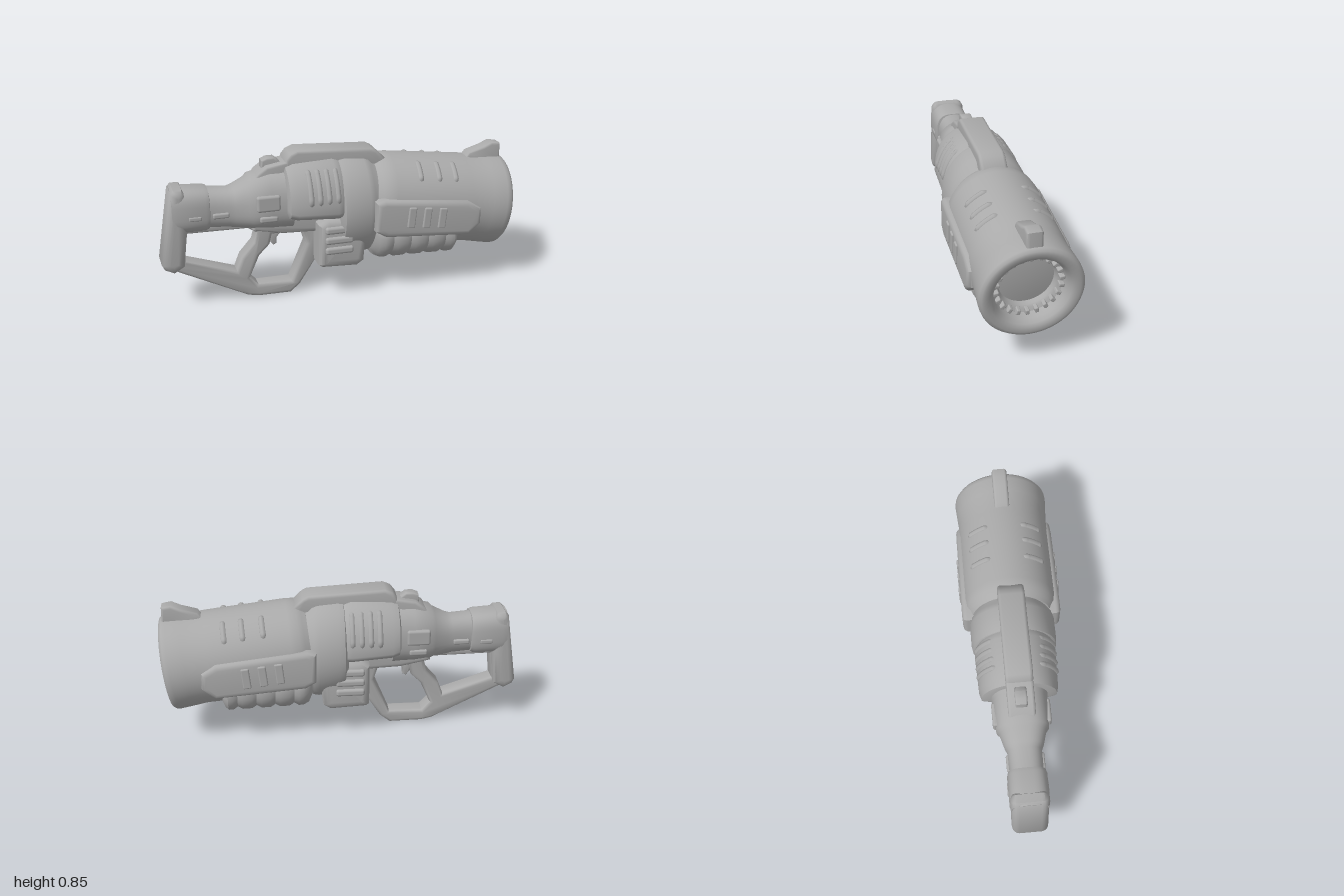
import * as THREE from 'three';
import { toCreasedNormals } from 'three/addons/utils/BufferGeometryUtils.js';
import { RoundedBoxGeometry } from 'three/addons/geometries/RoundedBoxGeometry.js';

const grey = new THREE.MeshStandardMaterial({ color: 0xaaaaaa });
grey.name = 'grey';

function part(parent, name, geometry) {
  const mesh = new THREE.Mesh(geometry, grey);
  mesh.name = name;
  parent.add(mesh);
  return mesh;
}

// Rounded slab: side outline in x/y, extruded evenly to both sides of z = 0
function slab(points, half, bevel, holes = []) {
  const toVec = (list) => list.map(([x, y]) => new THREE.Vector2(x, y));
  const shape = new THREE.Shape(toVec(points));
  holes.forEach((h) => shape.holes.push(new THREE.Path(toVec(h))));
  const geo = new THREE.ExtrudeGeometry(shape, {
    depth: 2 * (half - bevel), bevelThickness: bevel, bevelSize: bevel,
    bevelOffset: -bevel, bevelSegments: 4,
  });
  geo.translate(0, 0, bevel - half);
  return toCreasedNormals(geo, 0.75);
}

// Body along x from egg-shaped sections: [x, bottom, widest height, top, half width]
function loft(sections, power = 2, n = 40) {
  const pos = [], index = [];
  const bend = (v) => Math.sign(v) * Math.abs(v) ** (2 / power);
  for (const [x, bottom, mid, top, w] of sections) {
    for (let j = 0; j < n; j++) {
      const a = (j / n) * Math.PI * 2, s = bend(Math.sin(a));
      pos.push(x, mid + s * (s > 0 ? top - mid : mid - bottom), w * bend(Math.cos(a)));
    }
  }
  const last = sections.length - 1, c0 = pos.length / 3;
  pos.push(sections[0][0], sections[0][2], 0, sections[last][0], sections[last][2], 0);
  for (let j = 0; j < n; j++) {
    const k = (j + 1) % n;
    for (let i = 0; i < last; i++) {
      const a = i * n + j, b = a + n, c = (i + 1) * n + k, d = i * n + k;
      index.push(a, b, c, a, c, d);
    }
    index.push(c0, j, k, c0 + 1, last * n + k, last * n + j);
  }
  const geo = new THREE.BufferGeometry();
  geo.setAttribute('position', new THREE.Float32BufferAttribute(pos, 3));
  geo.setIndex(index);
  return toCreasedNormals(geo, 0.7);
}

// Matching ridges on both sides, following an elliptical body, ends sunk into it
function ribs(parent, name, xs, mid, w, h, a0, a1, r) {
  for (const x of xs) for (const side of [1, -1]) {
    const path = [];
    for (let i = 0; i <= 8; i++) {
      const a = a0 + ((a1 - a0) * i) / 8, k = i % 8 ? 1 : 0.91;
      path.push(new THREE.Vector3(x, mid + h * k * Math.sin(a), side * w * k * Math.cos(a)));
    }
    part(parent, name, new THREE.TubeGeometry(new THREE.CatmullRomCurve3(path), 20, r, 8));
  }
}

function box(parent, name, w, h, d, x, y, z, r = 0.01) {
  const mesh = part(parent, name, new RoundedBoxGeometry(w, h, d, 3, r));
  mesh.position.set(x, y, z);
  return mesh;
}

export function createModel() {
  const model = new THREE.Group();
  model.name = 'launcher';

  // Barrel, pitched slightly down; its origin is the centre of the muzzle
  const barrel = new THREE.Group();
  barrel.name = 'barrel';
  barrel.position.set(0.965, 0.43, 0);
  barrel.rotation.z = -0.122;
  model.add(barrel);
  const profile = [
    [0, -0.8], [0.22, -0.8], [0.235, -0.775], [0.25, -0.75], [0.256, -0.7], [0.258, -0.25],
    [0.256, -0.19], [0.262, -0.12], [0.268, -0.04], [0.266, -0.018], [0.255, -0.003], [0.24, 0],
    [0.215, -0.004], [0.2, -0.015], [0.187, -0.04], [0.178, -0.08], [0.16, -0.09],
    [0.148, -0.1], [0.143, -0.125], [0.1, -0.12], [0, -0.115],
  ].map(([r, s]) => new THREE.Vector2(r, s));
  const tube = new THREE.LatheGeometry(profile, 56);
  tube.rotateZ(-Math.PI / 2);
  part(barrel, 'barrelTube', toCreasedNormals(tube, 0.8));
  for (let i = 0; i < 22; i++) {
    const a = (i / 22) * Math.PI * 2;
    const tooth = box(barrel, 'boreTooth', 0.05, 0.03, 0.022,
      -0.085, Math.cos(a) * 0.168, Math.sin(a) * 0.168, 0.006);
    tooth.rotation.x = a;
  }
  ribs(barrel, 'barrelVent', [-0.56, -0.45, -0.35], 0, 0.25, 0.25, 0.65, 1.2, 0.018);

  // Front sight
  part(model, 'frontSight', slab([[0.74, 0.68], [0.78, 0.735], [0.87, 0.762], [0.92, 0.785],
    [0.972, 0.775], [0.975, 0.66]], 0.042, 0.015));

  // Side panels of the barrel with raised slats
  part(model, 'sidePanels', slab([[0.15, 0.57], [0.2, 0.585], [0.69, 0.53], [0.77, 0.48], [0.77, 0.385],
    [0.7, 0.325], [0.21, 0.365], [0.15, 0.4]], 0.276, 0.03));
  for (const x of [0.35, 0.44, 0.53]) for (const z of [0.275, -0.275]) {
    const slat = box(model, 'panelSlat', 0.045, 0.12, 0.02, x, 0.515 - x * 0.12, z, 0.008);
    slat.rotation.z = -0.1;
  }

  // Ribbed rail under the barrel
  const rail = [[0.17, 0.23, 0.36, 0.45, 0.19], [0.19, 0.185, 0.345, 0.45, 0.215]];
  for (let i = 0; i <= 16; i++) {
    const dip = i % 4 === 2 ? 0.018 : 0;
    rail.push([0.22 + i * 0.026, 0.172 + dip - i * 0.0007, 0.335 - i * 0.001, 0.44, 0.228 - dip * 0.6]);
  }
  rail.push([0.655, 0.18, 0.32, 0.43, 0.21], [0.67, 0.22, 0.32, 0.42, 0.18]);
  part(model, 'underRail', loft(rail, 2.3));

  // Receiver: drum in front, vented housing behind
  part(model, 'receiverDrum', loft([
    [-0.03, 0.3, 0.5, 0.76, 0.2], [-0.01, 0.24, 0.5, 0.79, 0.232], [0.02, 0.22, 0.5, 0.795, 0.237],
    [0.13, 0.205, 0.5, 0.785, 0.237], [0.16, 0.21, 0.5, 0.775, 0.23], [0.18, 0.24, 0.5, 0.755, 0.215],
    [0.25, 0.26, 0.5, 0.73, 0.2],
  ]));
  part(model, 'receiverHousing', loft([
    [-0.32, 0.5, 0.55, 0.74, 0.175], [-0.31, 0.475, 0.54, 0.775, 0.205], [-0.27, 0.465, 0.53, 0.79, 0.216],
    [-0.05, 0.45, 0.52, 0.8, 0.224], [-0.02, 0.45, 0.52, 0.79, 0.215], [0, 0.46, 0.52, 0.78, 0.2],
  ], 2.1));
  ribs(model, 'housingVent', [-0.2, -0.15, -0.1, -0.05], 0.53, 0.215, 0.258, 0.15, 1.05, 0.017);

  // Top rail and rear sight
  part(model, 'topRail', slab([[-0.32, 0.7], [-0.305, 0.8], [-0.28, 0.83], [-0.24, 0.847], [0.18, 0.825],
    [0.21, 0.81], [0.26, 0.762], [0.27, 0.68]], 0.073, 0.018));
  part(model, 'rearSightBase', slab([[-0.5, 0.68], [-0.46, 0.735], [-0.41, 0.77], [-0.29, 0.79],
    [-0.28, 0.68]], 0.072, 0.015));
  part(model, 'rearSight', slab([[-0.435, 0.72], [-0.43, 0.795], [-0.4, 0.808], [-0.36, 0.808],
    [-0.33, 0.785], [-0.32, 0.72]], 0.032, 0.01));

  // Pod below the receiver with horizontal ridges
  part(model, 'lowerPod', slab([[-0.15, 0.2], [-0.13, 0.188], [0.07, 0.178], [0.11, 0.205], [0.13, 0.44],
    [0.07, 0.465], [-0.1, 0.475], [-0.15, 0.44]], 0.195, 0.045));
  for (const y of [0.295, 0.355, 0.415]) for (const z of [0.192, -0.192]) {
    box(model, 'podRidge', 0.16, 0.042, 0.035, -0.04, y, z, 0.015);
  }

  // Neck from the stock to the receiver
  part(model, 'neck', loft([
    [-0.76, 0.445, 0.56, 0.67, 0.09], [-0.62, 0.435, 0.55, 0.658, 0.092], [-0.59, 0.43, 0.55, 0.665, 0.105],
    [-0.52, 0.425, 0.55, 0.7, 0.125], [-0.5, 0.42, 0.55, 0.72, 0.142], [-0.4, 0.41, 0.55, 0.745, 0.15],
    [-0.34, 0.41, 0.55, 0.745, 0.15], [-0.28, 0.41, 0.55, 0.75, 0.16],
  ], 2.5));
  part(model, 'underbody', slab([[-0.5, 0.42], [-0.33, 0.385], [-0.1, 0.375], [0, 0.4], [0, 0.52],
    [-0.5, 0.52]], 0.1, 0.025));
  for (const z of [0.14, -0.14]) {
    box(model, 'neckPlate', 0.13, 0.09, 0.035, -0.42, 0.59, z, 0.014);
    box(model, 'neckBolt', 0.1, 0.035, 0.03, -0.42, 0.5, z, 0.012);
  }

  // Stock tube and butt
  part(model, 'stockTube', loft([
    [-0.93, 0.44, 0.56, 0.685, 0.098], [-0.9, 0.435, 0.56, 0.688, 0.106], [-0.75, 0.435, 0.555, 0.678, 0.106],
    [-0.73, 0.445, 0.555, 0.672, 0.1], [-0.725, 0.46, 0.555, 0.65, 0.085],
  ], 3));
  part(model, 'butt', slab([[-0.935, 0.67], [-0.915, 0.69], [-0.87, 0.688], [-0.85, 0.66], [-0.855, 0.44],
    [-0.875, 0.25], [-0.935, 0.215], [-0.985, 0.24], [-1, 0.27]], 0.1, 0.04));
  for (const z of [0.1, -0.1]) {
    box(model, 'stockCatch', 0.07, 0.025, 0.02, -0.81, 0.53, z, 0.008);
    box(model, 'neckCatch', 0.09, 0.03, 0.03, -0.67, 0.53, z * 0.88, 0.01);
  }

  // Skeleton frame: lower bar, grip and trigger guard around two openings
  part(model, 'gripFrame', slab(
    [[-0.96, 0.24], [-0.93, 0.215], [-0.58, 0.04], [-0.53, 0.015], [-0.47, 0.002], [-0.285, 0],
      [-0.23, 0.045], [-0.13, 0.2], [-0.1, 0.48], [-0.92, 0.48]],
    0.052, 0.02,
    [[[-0.85, 0.425], [-0.52, 0.42], [-0.475, 0.39], [-0.49, 0.33], [-0.56, 0.25], [-0.59, 0.175], [-0.87, 0.27]],
      [[-0.46, 0.25], [-0.4, 0.31], [-0.385, 0.37], [-0.215, 0.375], [-0.19, 0.29], [-0.28, 0.075],
        [-0.47, 0.075], [-0.515, 0.125]]]));

  // Trigger
  part(model, 'trigger', slab([[-0.4, 0.4], [-0.395, 0.32], [-0.375, 0.295], [-0.355, 0.305],
    [-0.355, 0.34], [-0.325, 0.375], [-0.32, 0.4]], 0.025, 0.008));

  return model;
}
